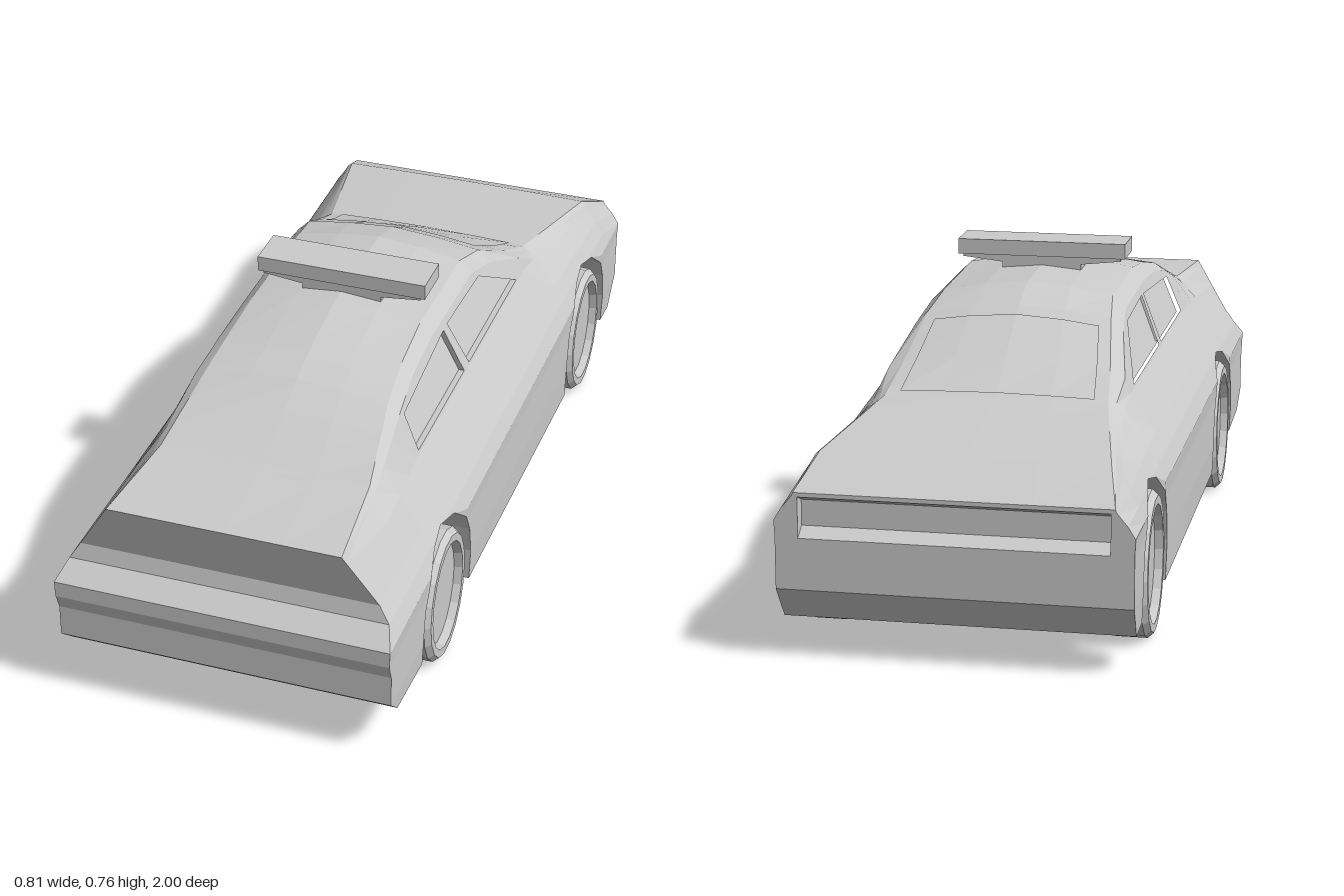
import * as THREE from 'three';

const grey = new THREE.MeshStandardMaterial({ color: 0xcccccc, flatShading: true });
const thin = new THREE.MeshStandardMaterial({ color: 0xcccccc, flatShading: true, side: THREE.DoubleSide });

// Body stations: z, floor y, shoulder x y, belt x y, upper side x y, roof ridge x y, centre y
const cabinX = y => 0.30 - (y - 0.5) * 0.41;
const cabin = (z, floor, uy, rx, ry, cy) => [z, floor, 0.36, 0.41, 0.30, 0.5, cabinX(uy), uy, rx, ry, cy];
const STATIONS = [
  [-1, 0.09, 0.365, 0.385, 0.363, 0.388, 0.361, 0.392, 0.36, 0.395, 0.395],
  [-0.87, 0.095, 0.372, 0.40, 0.352, 0.43, 0.34, 0.45, 0.33, 0.458, 0.462],
  [-0.52, 0.075, 0.36, 0.41, 0.30, 0.475, 0.28, 0.49, 0.265, 0.50, 0.505],
  cabin(-0.40, 0.077, 0.535, 0.25, 0.55, 0.572),
  cabin(-0.235, 0.08, 0.61, 0.225, 0.64, 0.665),
  cabin(-0.12, 0.082, 0.64, 0.21, 0.67, 0.70),
  cabin(0.2, 0.088, 0.645, 0.21, 0.675, 0.703),
  cabin(0.35, 0.09, 0.635, 0.215, 0.658, 0.682),
  cabin(0.48, 0.092, 0.61, 0.225, 0.63, 0.648),
  [0.70, 0.105, 0.36, 0.41, 0.31, 0.49, 0.27, 0.535, 0.255, 0.548, 0.55],
  [0.96, 0.12, 0.36, 0.41, 0.32, 0.475, 0.29, 0.524, 0.28, 0.54, 0.54],
];
const WHEELS_Z = [0.562, -0.68];
const ARCH_HALF = 0.185;
const PANEL_Z = [-0.40, 0.48];

// Fore-and-aft outline of both bumpers as [y, z]
const REAR = [[0.12, 0.93], [0.17, 0.985], [0.25, 0.985], [0.29, 1], [0.33, 1], [0.37, 0.95], [0.41, 0.94], [0.54, 0.965]];
const FRONT = [[0.09, -0.945], [0.17, -1], [0.40, -1]];

function lerpTable(table, t) {
  let k = 0;
  while (k < table.length - 2 && t > table[k + 1][0]) k++;
  const a = table[k], b = table[k + 1];
  const f = THREE.MathUtils.clamp((t - a[0]) / (b[0] - a[0] || 1), 0, 1);
  return a.map((v, i) => v + (b[i] - v) * f);
}

// Flat-shaded mesh from quads, dropping collapsed triangles
function quadMesh(quads, material, name) {
  const pos = [];
  const tri = new THREE.Triangle();
  for (const [a, b, c, d] of quads) {
    for (const t of [[a, b, c], [a, c, d]]) {
      tri.set(...t.map(p => new THREE.Vector3(...p)));
      if (tri.getArea() > 1e-7) pos.push(...t.flat());
    }
  }
  const geo = new THREE.BufferGeometry();
  geo.setAttribute('position', new THREE.Float32BufferAttribute(pos, 3));
  geo.computeVertexNormals();
  return named(new THREE.Mesh(geo, material), name);
}

function named(object, name) {
  object.name = name;
  return object;
}

// Half cross-section from floor centre, round the wheel well, up to the roof centre
function halfSection(z, archY) {
  const [, floor, sx, sy, bx, by, ux, uy, rx, ry, cy] = lerpTable(STATIONS, z);
  const side = [[floor, 0.40], [0.17, 0.403], [0.25, 0.403], [0.29, 0.403], [0.33, 0.405],
    [(0.33 + sy) / 2, (0.405 + sx) / 2 + 0.003], [sy, sx]];
  const low = Math.max(floor, archY);
  const pts = [[0, floor], [0.30, floor], [0.30, low]];
  for (const [y] of side) {
    const h = Math.max(y, low);
    pts.push([lerpTable(side, h)[1], h]);
  }
  pts.push([bx, by], [ux, uy], [rx, ry], [rx * 0.5, ry + (cy - ry) * 0.65], [0, cy]);
  const zAt = y => z <= -1 ? lerpTable(FRONT, y)[1] : z >= 0.96 ? lerpTable(REAR, y)[1] : z;
  return pts.map(([x, y]) => [x, y, zAt(y)]);
}

const flip = ([x, y, z]) => [-x, y, z];

function buildBody() {
  // Stations plus extra slices that carve the wheel arches
  const slices = STATIONS.map(s => [s[0], 0]).filter(([z]) => WHEELS_Z.every(c => Math.abs(z - c) > ARCH_HALF));
  for (const c of WHEELS_Z) {
    for (const u of [-1, -0.93, -0.75, -0.4, 0, 0.4, 0.75, 0.93, 1]) {
      slices.push([c + u * ARCH_HALF, 0.175 + 0.2 * Math.sqrt(1 - u * u)]);
      if (Math.abs(u) === 1) slices.push([c + u * (ARCH_HALF + 1e-5), 0]);
    }
  }
  // Slices where the cabin panel or roof changes inside an arch
  const archAt = (z, c) => 0.175 + 0.2 * Math.sqrt(1 - ((z - c) / ARCH_HALF) ** 2);
  for (const [z, c] of [[0.48, 0.562], [0.70, 0.562], [-0.52, -0.68]]) slices.push([z, archAt(z, c)]);
  slices.sort((a, b) => a[0] - b[0]);

  const halves = slices.map(([z, a]) => halfSection(z, a));
  const quads = [];
  for (let k = 0; k < halves.length - 1; k++) {
    const p = halves[k], q = halves[k + 1];
    const mid = (slices[k][0] + slices[k + 1][0]) / 2;
    for (let i = 0; i < p.length - 1; i++) {
      if (i === 10 && mid > PANEL_Z[0] && mid < PANEL_Z[1]) continue; // window panel goes here
      const quad = [p[i], p[i + 1], q[i + 1], q[i]];
      quads.push(quad, quad.map(flip).reverse());
    }
  }
  // Rear face, and front face with an opening for the grille
  const rear = halves[halves.length - 1], front = halves[0];
  for (let i = 3; i < rear.length - 1; i++) {
    quads.push([rear[i], rear[i + 1], flip(rear[i + 1]), flip(rear[i])]);
    const a = front[i], b = front[i + 1];
    if (i >= 6 && i <= 8) {
      const quad = [[0.35, a[1], a[2]], [0.35, b[1], b[2]], b, a];
      quads.push(quad, quad.map(flip).reverse());
    } else quads.push([flip(a), flip(b), b, a]);
  }
  return quadMesh(quads, grey, 'body');
}

function buildGrille() {
  const profile = [[0.385, -1], [0.37, -0.965], [0.31, -0.965], [0.29, -1]];
  const ends = [-0.35, 0.35].map(x => profile.map(([y, z]) => [x, y, z]));
  const [l, r] = ends;
  const quads = [0, 1, 2].map(i => [l[i], r[i], r[i + 1], l[i + 1]]);
  return quadMesh([...quads, ...ends], thin, 'grille');
}

// Cabin side with two window openings and glass set behind it
function buildCabinSide(s) {
  const depth = 0.014;
  const path = pts => pts.map(([z, y]) => new THREE.Vector2(-s * z, y));
  const top = STATIONS.filter(t => t[0] >= PANEL_Z[0] && t[0] <= PANEL_Z[1]).map(t => [t[0], t[7]]);
  const outline = path([[0.48, 0.5], [-0.40, 0.5], ...top]);
  const frame = new THREE.Shape(outline);
  for (const w of [
    [[0.47, 0.506], [0.11, 0.506], [0.13, 0.624], [0.465, 0.598]],
    [[0.07, 0.506], [-0.34, 0.506], [-0.15, 0.617], [0.10, 0.625]],
  ]) frame.holes.push(new THREE.Path(path(w)));
  const place = geo => {
    const p = geo.attributes.position;
    for (let i = 0; i < p.count; i++) {
      const u = p.getX(i), v = p.getY(i), w = p.getZ(i);
      p.setXYZ(i, s * (cabinX(v) - depth + w), v, -s * u);
    }
    geo.computeVertexNormals();
    return geo;
  };
  const group = named(new THREE.Group(), s > 0 ? 'leftCabinSide' : 'rightCabinSide');
  group.add(named(new THREE.Mesh(place(new THREE.ExtrudeGeometry(frame, { depth, bevelEnabled: false })), grey), 'windowFrame'));
  group.add(named(new THREE.Mesh(place(new THREE.ShapeGeometry(new THREE.Shape(outline))), grey), 'sideGlass'));
  return group;
}

// Pane lying just proud of the sloping nose of the cabin
function buildWindscreen() {
  const rows = [-0.51, -0.40, -0.27].map(z => {
    const [ridge, mid, top] = halfSection(z, 0).slice(-3);
    const edge = [0, 1].map(i => mid[i] + (ridge[i] - mid[i]) * 0.75);
    const half = [edge, mid, top].map(([x, y]) => [x, y + 0.004, z]);
    return [...half, ...half.slice(0, 2).reverse().map(flip)];
  });
  const quads = [];
  for (let k = 0; k < 2; k++)
    for (let i = 0; i < 4; i++) quads.push([rows[k][i], rows[k][i + 1], rows[k + 1][i + 1], rows[k + 1][i]]);
  return quadMesh(quads, thin, 'windscreen');
}

// Slightly oval wheel with a sunken hub face
function buildWheel(s, z) {
  const profile = [[0, -0.05], [0.158, -0.05], [0.173, -0.038], [0.173, 0.036], [0.16, 0.05],
    [0.14, 0.05], [0.134, 0.03], [0, 0.03]].map(p => new THREE.Vector2(...p));
  const geo = new THREE.LatheGeometry(profile, 18).rotateZ(-Math.PI / 2).scale(1, 1, 0.83);
  const wheel = new THREE.Mesh(geo, grey);
  wheel.position.set(s * 0.354, 0.174, z);
  if (s < 0) wheel.rotation.y = Math.PI;
  return named(wheel, (s > 0 ? 'left' : 'right') + (z > 0 ? 'Front' : 'Back') + 'Wheel');
}

function buildLightBar() {
  const group = named(new THREE.Group(), 'lightBar');
  const bar = new THREE.Mesh(new THREE.BoxGeometry(0.425, 0.038, 0.11), grey);
  bar.position.set(0, 0.743, 0.112);
  const half = [[0.10, 0.685], [0.10, 0.706], [0.20, 0.717], [0.20, 0.725]];
  const outline = [...half, ...half.slice().reverse().map(([x, y]) => [-x, y])];
  const geo = new THREE.ExtrudeGeometry(new THREE.Shape(outline.map(p => new THREE.Vector2(...p))), { depth: 0.1, bevelEnabled: false });
  const mount = new THREE.Mesh(geo, grey);
  mount.position.z = 0.062;
  group.add(named(bar, 'bar'), named(mount, 'barMount'));
  return group;
}

export function createModel() {
  const car = named(new THREE.Group(), 'car');
  car.add(buildBody(), buildGrille(), buildWindscreen(), buildLightBar());
  for (const s of [1, -1]) {
    car.add(buildCabinSide(s));
    for (const z of WHEELS_Z) car.add(buildWheel(s, z));
  }
  return car;
}
